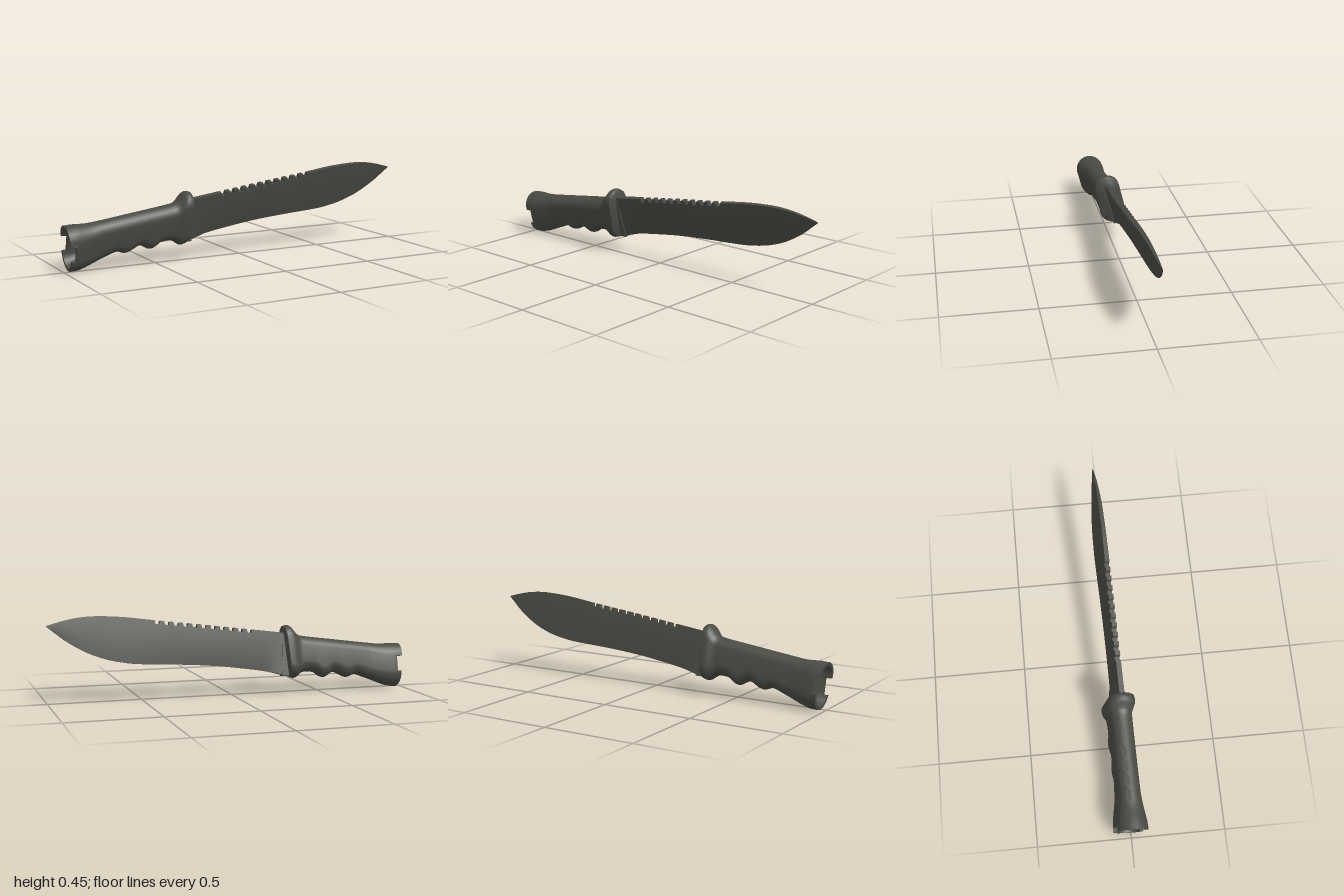
import * as THREE from 'three';
import { toCreasedNormals } from 'three/addons/utils/BufferGeometryUtils.js';

const ROLL = Math.atan(0.25);
const COS = Math.cos(ROLL), SIN = Math.sin(ROLL);

// Piecewise linear lookup in [[x, value], ...]
function lookup(table, x) {
  if (x <= table[0][0]) return table[0][1];
  for (let i = 1; i < table.length; i++) {
    const [x0, a] = table[i - 1], [x1, b] = table[i];
    if (x <= x1) return a + (b - a) * (x - x0) / (x1 - x0);
  }
  return table[table.length - 1][1];
}

// Smooth outline through a few points
function smooth(points) {
  const curve = new THREE.SplineCurve(points.map(([x, y]) => new THREE.Vector2(x, y)));
  return curve.getPoints(160).map((p) => [p.x, p.y]);
}

// Places a section point (v up, w sideways) on the rolled centre line
function place(x, yc, v, w, px = x) {
  const zc = -0.079 + 0.25 * yc - 0.046 * x;
  return [px, yc + v * COS - w * SIN, zc + v * SIN + w * COS];
}

// Skins a list of equal rings and caps both ends
function loft(rings, crease) {
  const n = rings[0].length, pos = [], index = [];
  rings.forEach((ring) => ring.forEach((p) => pos.push(...p)));
  for (let i = 0; i < rings.length - 1; i++) {
    for (let j = 0; j < n; j++) {
      const k = (j + 1) % n;
      const a = i * n + j, b = i * n + k, c = a + n, d = b + n;
      index.push(a, c, d, a, d, b);
    }
  }
  [0, rings.length - 1].forEach((r) => {
    const center = pos.length / 3;
    pos.push(...[0, 1, 2].map((q) => rings[r].reduce((s, p) => s + p[q], 0) / n));
    for (let j = 0; j < n; j++) {
      const a = r * n + j, b = r * n + (j + 1) % n;
      if (r === 0) index.push(center, a, b);
      else index.push(center, b, a);
    }
  });
  const geometry = new THREE.BufferGeometry();
  geometry.setAttribute('position', new THREE.Float32BufferAttribute(pos, 3));
  geometry.setIndex(index);
  return toCreasedNormals(geometry, crease);
}

// Handle outlines, half width and end slant
const handleTop = smooth([[-1, 0.247], [-0.94, 0.251], [-0.87, 0.25], [-0.8, 0.259], [-0.6, 0.286],
  [-0.42, 0.311], [-0.38, 0.325], [-0.355, 0.357], [-0.335, 0.375], [-0.31, 0.37]]);
const handleBottom = smooth([[-1, 0.006], [-0.93, 0.012], [-0.8, 0.057], [-0.72, 0.085], [-0.68, 0.075],
  [-0.65, 0.076], [-0.59, 0.105], [-0.56, 0.095], [-0.53, 0.08], [-0.5, 0.087], [-0.47, 0.109],
  [-0.42, 0.116], [-0.39, 0.109], [-0.36, 0.09], [-0.34, 0.084], [-0.31, 0.092]]);
const handleRadius = smooth([[-1, 0.08], [-0.93, 0.077], [-0.83, 0.061], [-0.75, 0.057], [-0.42, 0.057],
  [-0.38, 0.06], [-0.345, 0.071], [-0.31, 0.069]]);
const handleSlant = [[-1, -0.12], [-0.9, -0.1], [-0.8, 0], [-0.4, 0], [-0.31, 0.06]];

// Stadium section; flankX moves only the straight sides, which cuts the end notches
function handleRing(x, inset = 0, flankX = null) {
  const top = lookup(handleTop, x), bottom = lookup(handleBottom, x);
  const yc = (top + bottom) / 2;
  const outer = lookup(handleRadius, x), r = outer - inset;
  const s = ((top - bottom) / 2 - outer) / COS;
  const slant = lookup(handleSlant, x);
  const ring = [];
  const add = (v, w, flank) =>
    ring.push(place(x, yc, v, w, flank && flankX !== null ? flankX : x + slant * v));
  for (const side of [1, -1]) {
    add(-s * side, r * side, true);
    add(s * side, r * side, true);
    for (let i = 0; i <= 12; i++) {
      const a = Math.PI * i / 12;
      add(side * (s + r * Math.sin(a)), side * r * Math.cos(a), false);
    }
  }
  return ring;
}

function handleGeometry() {
  const start = -0.985, end = -0.312, steps = 60, notch = -0.958;
  // The hollow pommel runs from its floor out over the rim
  const rings = [handleRing(-0.86, 0.02), handleRing(start, 0.017, notch), handleRing(start, 0, notch)];
  for (let i = 0; i <= steps; i++) rings.push(handleRing(-0.945 + (end + 0.945) * i / steps));
  rings.push(handleRing(end + 0.004, 0.006));
  return loft(rings, 0.75);
}

// Blade outlines
const bladeTop = smooth([[-0.33, 0.327], [-0.12, 0.355], [0.15, 0.391], [0.42, 0.424], [0.6, 0.448],
  [0.75, 0.457], [0.85, 0.451], [0.93, 0.436], [1, 0.418]]);
const bladeBottom = smooth([[-0.33, 0.098], [-0.28, 0.107], [-0.2, 0.127], [-0.1, 0.145], [0.1, 0.173],
  [0.3, 0.19], [0.5, 0.202], [0.6, 0.214], [0.7, 0.237], [0.8, 0.276], [0.9, 0.335], [0.96, 0.382], [1, 0.414]]);
const bladeThickness = [[-0.33, 0.014], [0.4, 0.013], [0.75, 0.01], [0.92, 0.006], [1, 0.001]];
const edgeThickness = [[-0.27, 0.014], [-0.19, 0.0015], [1, 0.0008]];

function bladeRing(x, cut = 0) {
  const top = lookup(bladeTop, x), bottom = lookup(bladeBottom, x);
  const yc = (top + bottom) / 2, h = (top - bottom) / 2 / COS;
  const t = lookup(bladeThickness, x), e = Math.min(t, lookup(edgeThickness, x));
  return [[-h, e], [-0.15 * h, t], [h - cut, t], [h - cut, -t], [-0.15 * h, -t], [-h, -e]]
    .map(([v, w]) => place(x, yc, v, w));
}

function bladeGeometry() {
  const rings = [-0.33, -0.27, -0.23, -0.19, -0.15].map((x) => bladeRing(x));
  // Saw notches along the spine
  const pitch = 0.0515, depth = 0.019;
  for (let i = 0; i <= 10; i++) {
    const x = -0.118 + i * pitch;
    rings.push(bladeRing(x), bladeRing(x + 0.003, depth));
    rings.push(bladeRing(x + 0.024, depth), bladeRing(x + 0.028));
  }
  for (let i = 0; i <= 24; i++) rings.push(bladeRing(0.45 + 0.55 * i / 24));
  return loft(rings, 0.45);
}

// Wedge collar at the blade root, longer at the bottom
function collarGeometry() {
  const ring = (top, bottom) => [[-0.118, 0.019], [0.113, 0.019], [0.113, -0.019], [-0.118, -0.019]]
    .map(([v, w]) => place(-0.31, 0.215, v, w, v > 0 ? top : bottom));
  return loft([ring(-0.33, -0.33), ring(-0.3, -0.276)], 0.3);
}

export function createModel() {
  const model = new THREE.Group();
  model.name = 'knife';
  const darkOlive = new THREE.MeshStandardMaterial({ color: 0x4a4b44 });
  darkOlive.name = 'dark olive grey';
  const add = (name, geometry) => {
    const mesh = new THREE.Mesh(geometry, darkOlive);
    mesh.name = name;
    model.add(mesh);
  };
  add('handleWithGuard', handleGeometry());
  add('blade', bladeGeometry());
  add('bladeCollar', collarGeometry());
  return model;
}
